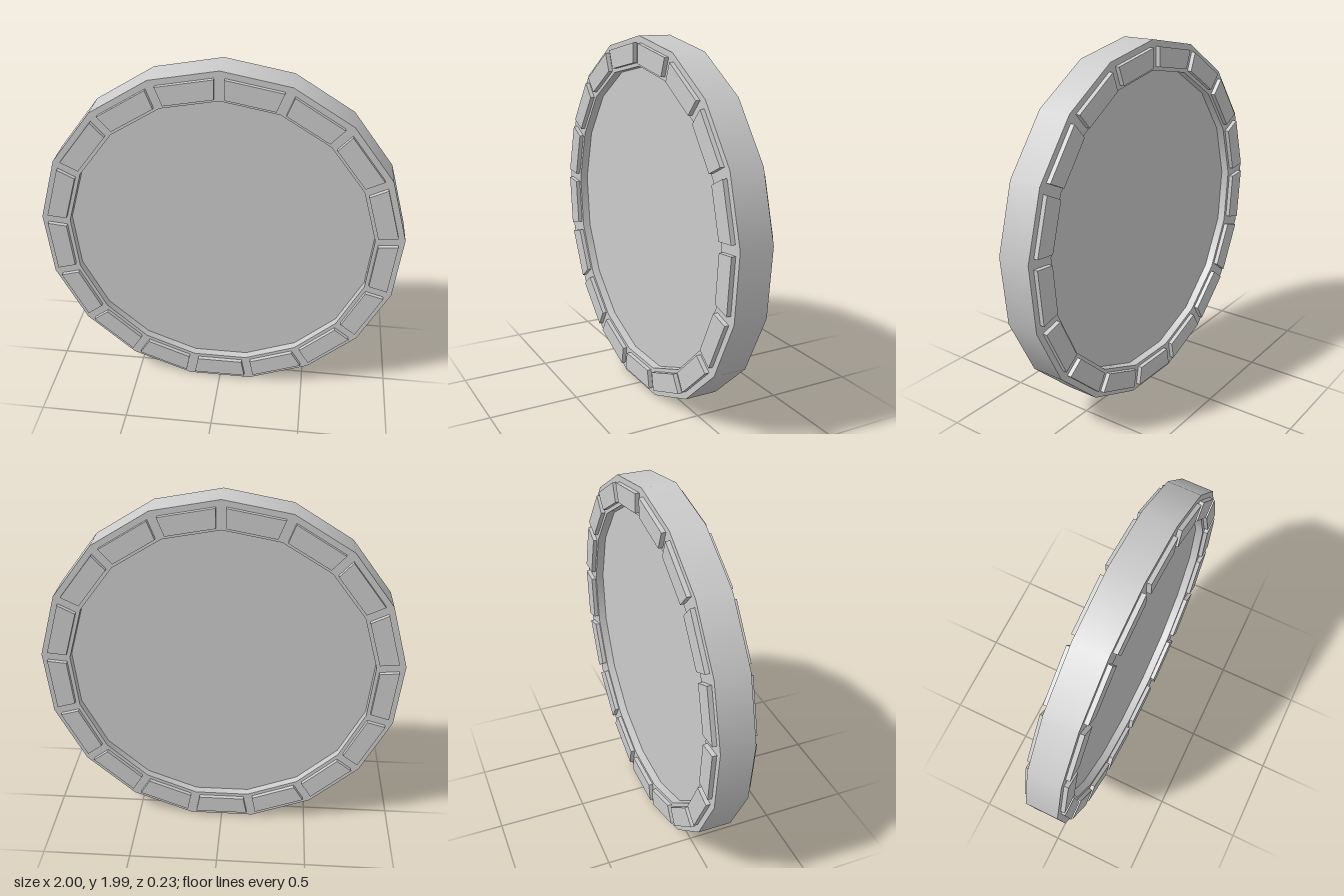
import * as THREE from 'three';

const SIDES = 17;
const STEP = (Math.PI * 2) / SIDES;
const OUTER = 1.004;           // corner radius of the disc
const INNER = 0.845;           // corner radius of the recess
const HALF = 0.092;            // half thickness at the rim
const FLOOR = 0.047;           // half thickness at the recessed face
const PAD = 0.024;             // height of the raised pads

export function createModel() {
  const grey = new THREE.MeshStandardMaterial({ color: 0xcccccc });
  const inward = new THREE.MeshStandardMaterial({ color: 0xcccccc, side: THREE.DoubleSide });
  const model = new THREE.Group();
  model.name = 'disc';

  const add = (parent, name, geometry, material = grey) => {
    const mesh = new THREE.Mesh(geometry, material);
    mesh.name = name;
    parent.add(mesh);
    return mesh;
  };

  // Open 17-sided wall along z with one corner pointing up
  const wall = (radius, depth) =>
    new THREE.CylinderGeometry(radius, radius, depth, SIDES, 1, true, Math.PI).rotateX(Math.PI / 2);

  // Trapezoid pad, set in evenly from its sector's edges
  const apothem = Math.cos(STEP / 2);
  const top = OUTER * apothem - 0.032;
  const bottom = INNER * apothem + 0.02;
  const halfWidth = (y) => y * Math.tan(STEP / 2) - 0.027;
  const padShape = new THREE.Shape([
    new THREE.Vector2(-halfWidth(bottom), bottom),
    new THREE.Vector2(halfWidth(bottom), bottom),
    new THREE.Vector2(halfWidth(top), top),
    new THREE.Vector2(-halfWidth(top), top),
  ]);
  const padGeometry = new THREE.ExtrudeGeometry(padShape, { depth: PAD, bevelEnabled: false });

  add(model, 'outerWall', wall(OUTER, HALF * 2));

  // Both faces are alike: rim, recess and a ring of pads
  for (const side of ['front', 'back']) {
    const face = new THREE.Group();
    face.name = side + 'Face';
    if (side === 'back') face.rotation.y = Math.PI;

    add(face, 'rim', new THREE.RingGeometry(INNER, OUTER, SIDES, 1, Math.PI / 2)).position.z = HALF;
    add(face, 'recessWall', wall(INNER, HALF - FLOOR), inward).position.z = (HALF + FLOOR) / 2;
    add(face, 'recessFloor', new THREE.CircleGeometry(INNER, SIDES, Math.PI / 2)).position.z = FLOOR;

    for (let i = 0; i < SIDES; i++) {
      const pad = add(face, 'rimPad', padGeometry);
      pad.position.z = HALF;
      pad.rotation.z = (i + 0.5) * STEP;
    }
    model.add(face);
  }

  // Rest the flat bottom edge on the ground
  model.position.y = OUTER * apothem;
  const root = new THREE.Group();
  root.name = 'standingDisc';
  root.add(model);
  return root;
}
